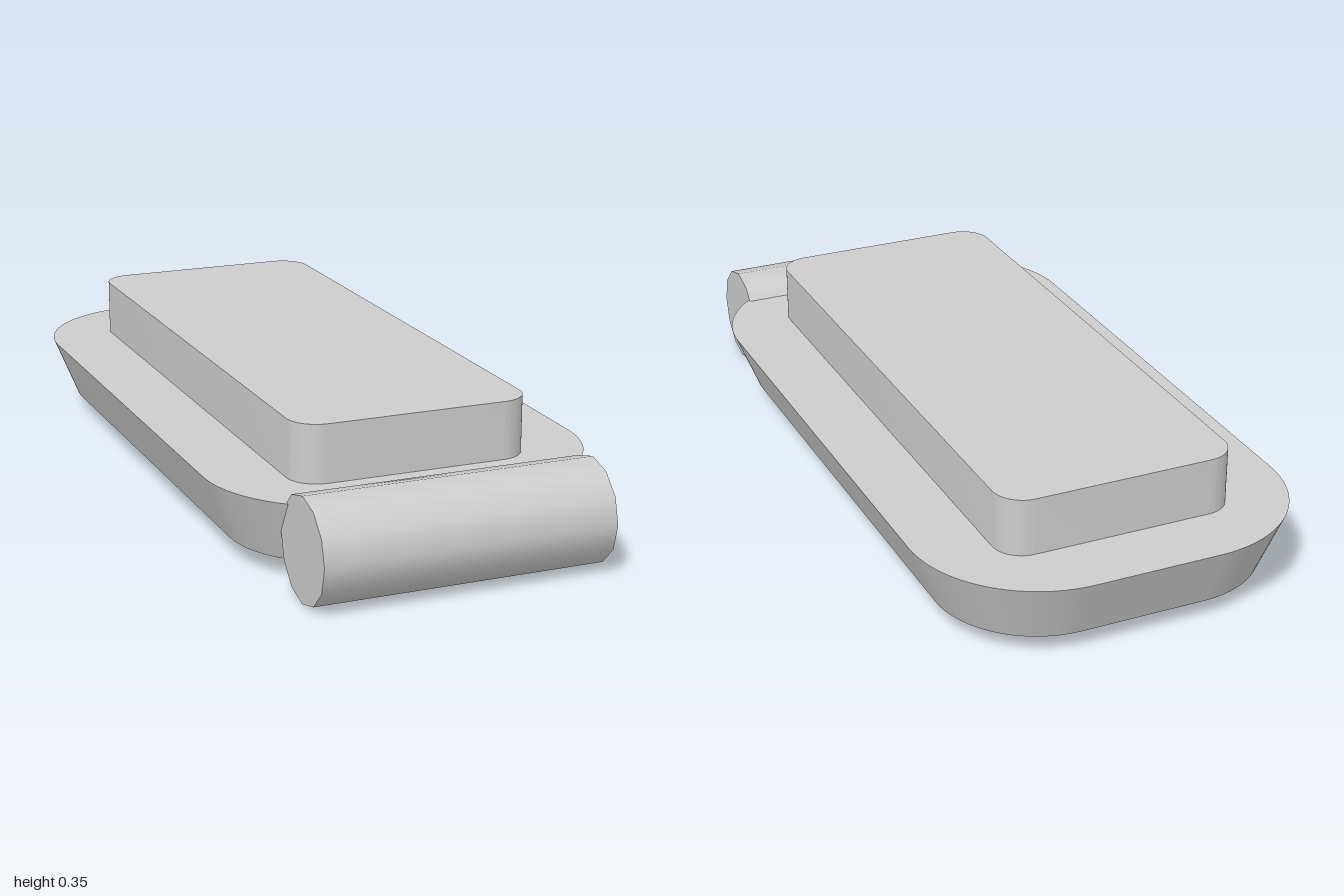
import * as THREE from 'three';
import { toCreasedNormals } from 'three/addons/utils/BufferGeometryUtils.js';

// Rounded slab standing on y = 0; the bottom outline is offset inwards by inset
function slab(halfX, halfZ, radius, height, inset = 0) {
  const cx = halfX - radius, cz = halfZ - radius;
  const shape = new THREE.Shape();
  shape.absarc(cx, cz, radius, 0, Math.PI / 2);
  shape.absarc(-cx, cz, radius, Math.PI / 2, Math.PI);
  shape.absarc(-cx, -cz, radius, Math.PI, Math.PI * 1.5);
  shape.absarc(cx, -cz, radius, Math.PI * 1.5, Math.PI * 2);
  shape.closePath();
  const geometry = new THREE.ExtrudeGeometry(shape, { depth: height, bevelEnabled: false, curveSegments: 10 });
  geometry.rotateX(-Math.PI / 2);

  // Pull bottom vertices towards their corner centres to slope the walls
  const p = geometry.attributes.position;
  const k = (radius - inset) / radius;
  for (let i = 0; i < p.count; i++) {
    if (p.getY(i) > height / 2) continue;
    const x = p.getX(i), z = p.getZ(i);
    const coreX = THREE.MathUtils.clamp(x, -cx, cx);
    const coreZ = THREE.MathUtils.clamp(z, -cz, cz);
    p.setX(i, coreX + (x - coreX) * k);
    p.setZ(i, coreZ + (z - coreZ) * k);
  }
  return toCreasedNormals(geometry, 0.6);
}

export function createModel() {
  const group = new THREE.Group();
  const grey = new THREE.MeshStandardMaterial({ color: 0xcccccc });
  grey.name = 'light grey';

  function add(name, geometry, y, z) {
    const mesh = new THREE.Mesh(geometry, grey);
    mesh.name = name;
    mesh.position.set(0, y, z);
    group.add(mesh);
  }

  // Tapered base tray
  add('base', slab(0.48, 0.93, 0.32, 0.16, 0.065), 0.05, -0.07);

  // Raised pad on top of the base
  add('raisedPad', slab(0.302, 0.757, 0.075, 0.145), 0.21, -0.067);

  // Roller across the front
  const roller = new THREE.CylinderGeometry(0.129, 0.129, 0.73, 12);
  roller.rotateZ(Math.PI / 2);
  add('frontRoller', roller, 0.129, 0.871);

  return group;
}
